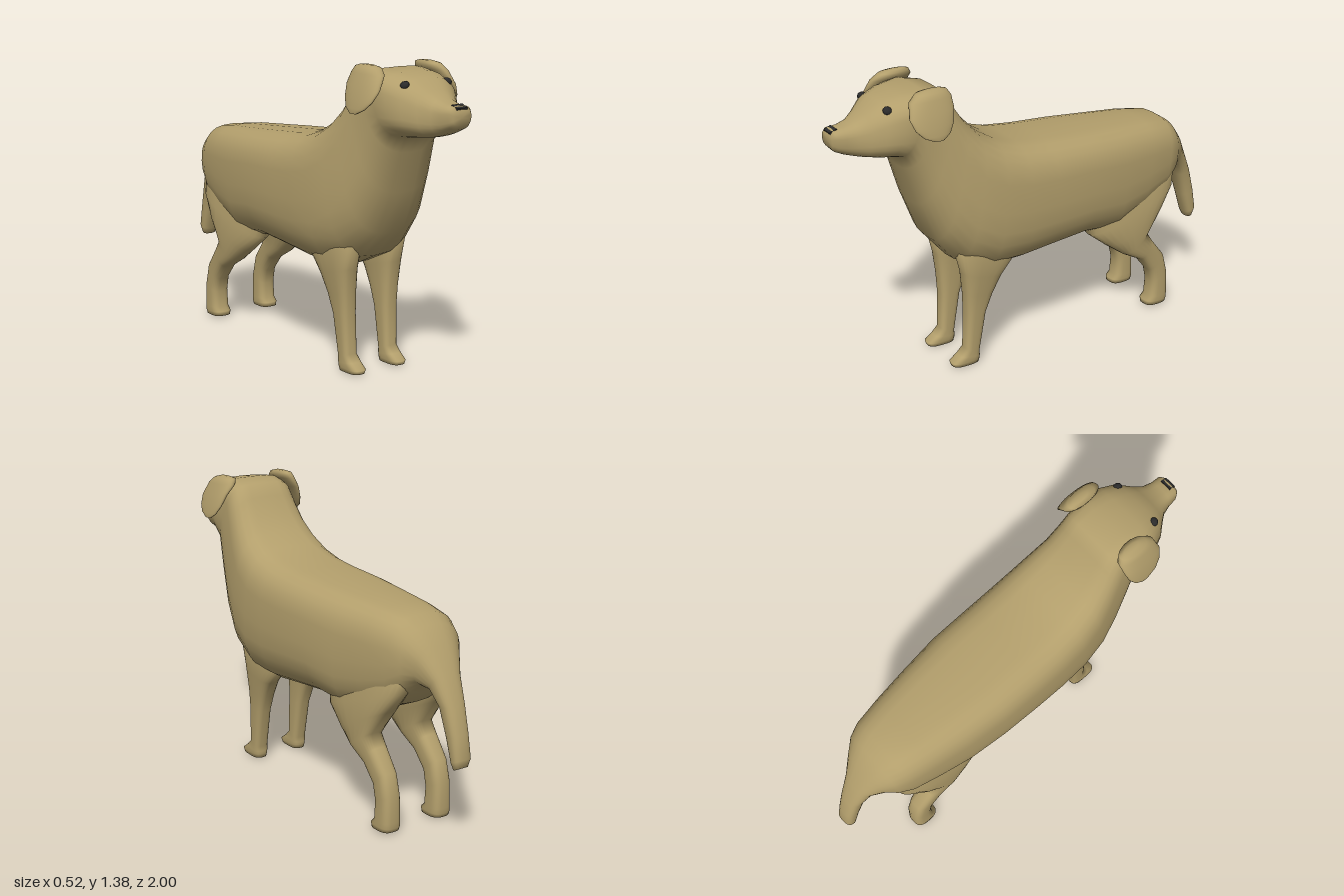
import * as THREE from 'three';

const SIDES = 28;
const coat = new THREE.MeshStandardMaterial({ color: 0xb39f6c });
const dark = new THREE.MeshStandardMaterial({ color: 0x2b2b2b });

const power = (v, n) => Math.sign(v) * Math.abs(v) ** (2 / n);

// Skin over rounded-box sections. Each section: [az, ay, bz, by, half width, squareness, centre x,
// squareness of the b half], where a and b are the two ends of the section in the side plane.
function loft(name, sections) {
  const pos = [], index = [];
  for (const [az, ay, bz, by, w, n = 2.5, x = 0, m = n] of sections) {
    for (let j = 0; j < SIDES; j++) {
      const t = (j / SIDES) * Math.PI * 2;
      const e = Math.cos(t) > 0 ? n : m;
      const c = power(Math.cos(t), e), s = power(Math.sin(t), e);
      pos.push(x + s * w, (ay + by) / 2 + (c * (ay - by)) / 2, (az + bz) / 2 + (c * (az - bz)) / 2);
    }
  }
  const last = sections.length - 1;
  for (const i of [0, last]) {
    const [az, ay, bz, by, , , x = 0] = sections[i];
    pos.push(x, (ay + by) / 2, (az + bz) / 2);
  }
  const capA = (last + 1) * SIDES, capB = capA + 1;
  for (let j = 0; j < SIDES; j++) {
    const k = (j + 1) % SIDES;
    for (let i = 0; i < last; i++) {
      const p = i * SIDES, q = p + SIDES;
      index.push(p + j, q + j, p + k, p + k, q + j, q + k);
    }
    index.push(capA, j, k, capB, last * SIDES + k, last * SIDES + j);
  }
  const geo = new THREE.BufferGeometry();
  geo.setAttribute('position', new THREE.Float32BufferAttribute(pos, 3));
  geo.setIndex(index);
  geo.computeVertexNormals();
  const mesh = new THREE.Mesh(geo, coat);
  mesh.name = name;
  return mesh;
}

// Tail tip to rump
const tail = [
  [-0.985, 0.36, -0.955, 0.345, 0.035],
  [-0.998, 0.40, -0.94, 0.375, 0.045],
  [-0.98, 0.50, -0.905, 0.48, 0.047],
  [-0.945, 0.62, -0.865, 0.60, 0.055],
  [-0.89, 0.74, -0.82, 0.66, 0.075],
  [-0.825, 0.85, -0.78, 0.67, 0.12],
  [-0.765, 0.925, -0.745, 0.63, 0.162],
];
// Rump to throat: flat along the back, rounder at the belly
const torso = [
  [-0.71, 0.96, -0.67, 0.56, 0.187, 2.8],
  [-0.58, 0.977, -0.53, 0.50, 0.21, 3.2],
  [-0.40, 0.99, -0.38, 0.46, 0.235, 3.4],
  [-0.20, 1.005, -0.20, 0.485, 0.256, 3.5],
  [0, 1.02, 0, 0.47, 0.26, 3.5],
  [0.15, 1.04, 0.15, 0.455, 0.26, 3.5],
  [0.26, 1.075, 0.32, 0.455, 0.255, 3.5],
  [0.35, 1.13, 0.46, 0.52, 0.24, 3.5],
  [0.42, 1.205, 0.56, 0.64, 0.215, 3.5],
  [0.47, 1.28, 0.635, 0.83, 0.195, 3.6],
  [0.51, 1.34, 0.69, 1.01, 0.18, 3.8],
].map((s) => [...s, 0, 2.6]);
// Skull to muzzle
const head = [
  [0.60, 1.36, 0.725, 1.075, 0.184, 3.8, 0, 2.8],
  [0.70, 1.35, 0.77, 1.085, 0.178, 3.1, 0, 2.8],
  [0.78, 1.33, 0.815, 1.09, 0.152, 2.7],
  [0.84, 1.285, 0.86, 1.095, 0.11, 2.6],
  [0.89, 1.255, 0.90, 1.105, 0.077, 2.6],
  [0.94, 1.24, 0.94, 1.12, 0.064, 2.8],
  [0.985, 1.237, 0.98, 1.14, 0.06, 3],
  [1.0, 1.22, 0.998, 1.16, 0.048, 3],
];

// Legs and ear run from top to bottom, with a as the front edge
const frontLeg = [
  [0.42, 0.74, 0.16, 0.70, 0.05, 2.5, 0.12],
  [0.475, 0.58, 0.17, 0.51, 0.068, 2.6, 0.122],
  [0.448, 0.47, 0.25, 0.42, 0.056, 2.8, 0.122],
  [0.436, 0.36, 0.295, 0.34, 0.046, 3, 0.118],
  [0.432, 0.26, 0.332, 0.25, 0.041, 3, 0.115],
  [0.438, 0.08, 0.367, 0.06, 0.037, 3, 0.113],
  [0.47, 0.05, 0.365, 0.035, 0.039, 3, 0.113],
  [0.51, 0.022, 0.365, 0.02, 0.04, 3, 0.113],
  [0.505, 0.005, 0.37, 0, 0.036, 3, 0.113],
];
const hindLeg = [
  [-0.28, 0.78, -0.66, 0.82, 0.04, 2.5, 0.11],
  [-0.24, 0.62, -0.755, 0.72, 0.066, 2.5, 0.115],
  [-0.25, 0.475, -0.74, 0.635, 0.08, 2.5, 0.122],
  [-0.35, 0.395, -0.67, 0.54, 0.072, 2.5, 0.134],
  [-0.44, 0.33, -0.575, 0.42, 0.06, 2.6, 0.14],
  [-0.54, 0.275, -0.61, 0.365, 0.052, 2.8, 0.14],
  [-0.60, 0.20, -0.685, 0.27, 0.047, 2.8, 0.14],
  [-0.615, 0.13, -0.712, 0.17, 0.047, 2.8, 0.14],
  [-0.61, 0.05, -0.715, 0.05, 0.048, 3, 0.14],
  [-0.588, 0.03, -0.715, 0.025, 0.05, 3, 0.14],
  [-0.59, 0.008, -0.71, 0.008, 0.047, 3, 0.14],
];
const ear = [
  [0.63, 1.377, 0.55, 1.377, 0.014, 2.2, 0.158],
  [0.67, 1.367, 0.525, 1.37, 0.036, 2.2, 0.16],
  [0.705, 1.34, 0.51, 1.345, 0.038, 2.2, 0.17],
  [0.724, 1.28, 0.515, 1.30, 0.027, 2.2, 0.203],
  [0.71, 1.235, 0.53, 1.245, 0.018, 2.2, 0.226],
  [0.68, 1.203, 0.555, 1.205, 0.012, 2.2, 0.241],
  [0.635, 1.182, 0.59, 1.182, 0.005, 2.2, 0.249],
];
const mirrored = (sections, side) => sections.map((s) => [...s.slice(0, 6), s[6] * side]);

export function createModel() {
  const dog = new THREE.Group();
  dog.name = 'dog';
  dog.add(loft('bodyWithHeadAndTail', [...tail, ...torso, ...head]));

  for (const [label, side] of [['left', 1], ['right', -1]]) {
    dog.add(loft(label + 'FrontLeg', mirrored(frontLeg, side)));
    dog.add(loft(label + 'HindLeg', mirrored(hindLeg, side)));
    dog.add(loft(label + 'Ear', mirrored(ear, side)));
    // Eye
    const eye = new THREE.Mesh(new THREE.SphereGeometry(0.02, 12, 8), dark);
    eye.name = label + 'Eye';
    eye.scale.y = 0.8;
    eye.rotation.z = -0.6 * side;
    eye.position.set(0.113 * side, 1.305, 0.776);
    dog.add(eye);
  }

  // Nose
  const nose = new THREE.Mesh(new THREE.BoxGeometry(0.056, 0.02, 0.035), dark);
  nose.name = 'nose';
  nose.rotation.x = 0.35;
  nose.position.set(0, 1.226, 0.98);
  dog.add(nose);
  return dog;
}
